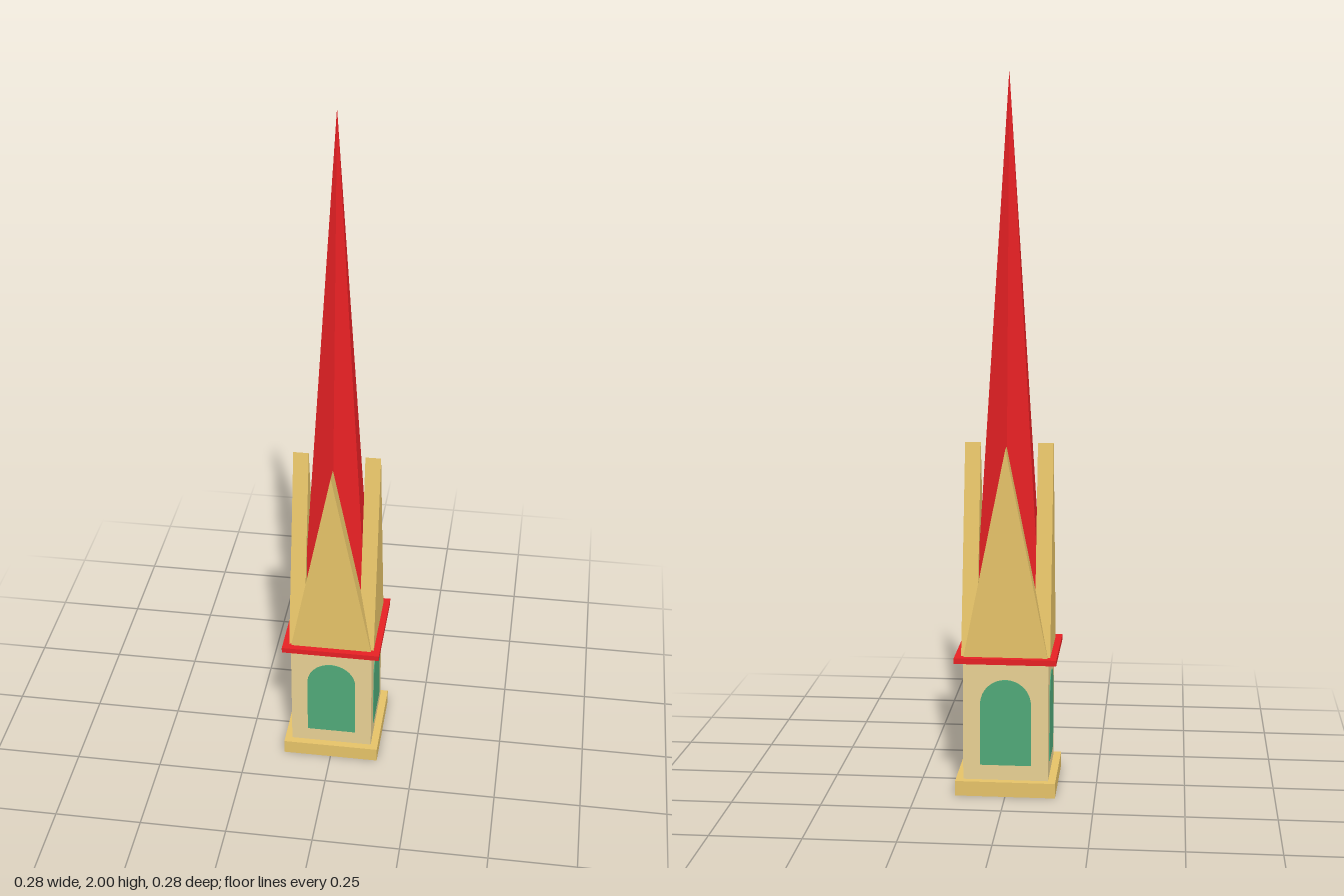
import * as THREE from 'three';

const mat = (name, color) => {
  const m = new THREE.MeshStandardMaterial({ color });
  m.name = name;
  return m;
};

export function createModel() {
  const gold = mat('gold stone', 0xe5c268);
  const tan = mat('pale stone', 0xe7d093);
  const red = mat('red roof', 0xe62024);
  const green = mat('green window', 0x50a878);

  const model = new THREE.Group();
  model.name = 'spireTower';

  const add = (name, geometry, material, parent = model) => {
    const mesh = new THREE.Mesh(geometry, material);
    mesh.name = name;
    parent.add(mesh);
    return mesh;
  };

  // Square slab spanning y0 to y1
  const slab = (name, half, y0, y1, material) =>
    add(name, new THREE.BoxGeometry(half * 2, y1 - y0, half * 2), material).position.y = (y0 + y1) / 2;

  slab('plinth', 0.14, 0, 0.042, gold);
  slab('body', 0.119, 0.042, 0.38, tan);
  slab('eave', 0.142, 0.38, 0.396, red);

  // Six-sided spire with corners facing front and back
  const spire = new THREE.CylinderGeometry(0, 0.113, 1.604, 6, 1).toNonIndexed();
  spire.computeVertexNormals();
  add('spire', spire, red).position.y = 0.396 + 1.604 / 2;

  // Gable outline
  const gableShape = new THREE.Shape();
  gableShape.moveTo(-0.117, 0.396);
  gableShape.lineTo(0.117, 0.396);
  gableShape.lineTo(0, 0.98);
  gableShape.closePath();
  const gable = new THREE.ExtrudeGeometry(gableShape, { depth: 0.044, bevelEnabled: false });
  gable.translate(0, 0, 0.08);

  // Round-arched window outline
  const windowShape = new THREE.Shape();
  windowShape.moveTo(-0.071, 0.085);
  windowShape.lineTo(0.071, 0.085);
  windowShape.lineTo(0.071, 0.26);
  windowShape.absarc(0, 0.26, 0.071, 0, Math.PI, false);
  windowShape.closePath();
  const pane = new THREE.ExtrudeGeometry(windowShape, { depth: 0.003, bevelEnabled: false, curveSegments: 16 });
  pane.translate(0, 0, 0.118);

  // One gable and window on each of the four sides
  ['front', 'left', 'back', 'right'].forEach((name, i) => {
    const side = new THREE.Group();
    side.name = name + 'Side';
    side.rotation.y = (i * Math.PI) / 2;
    add('gable', gable, gold, side);
    add('window', pane, green, side);
    model.add(side);
  });

  return model;
}
